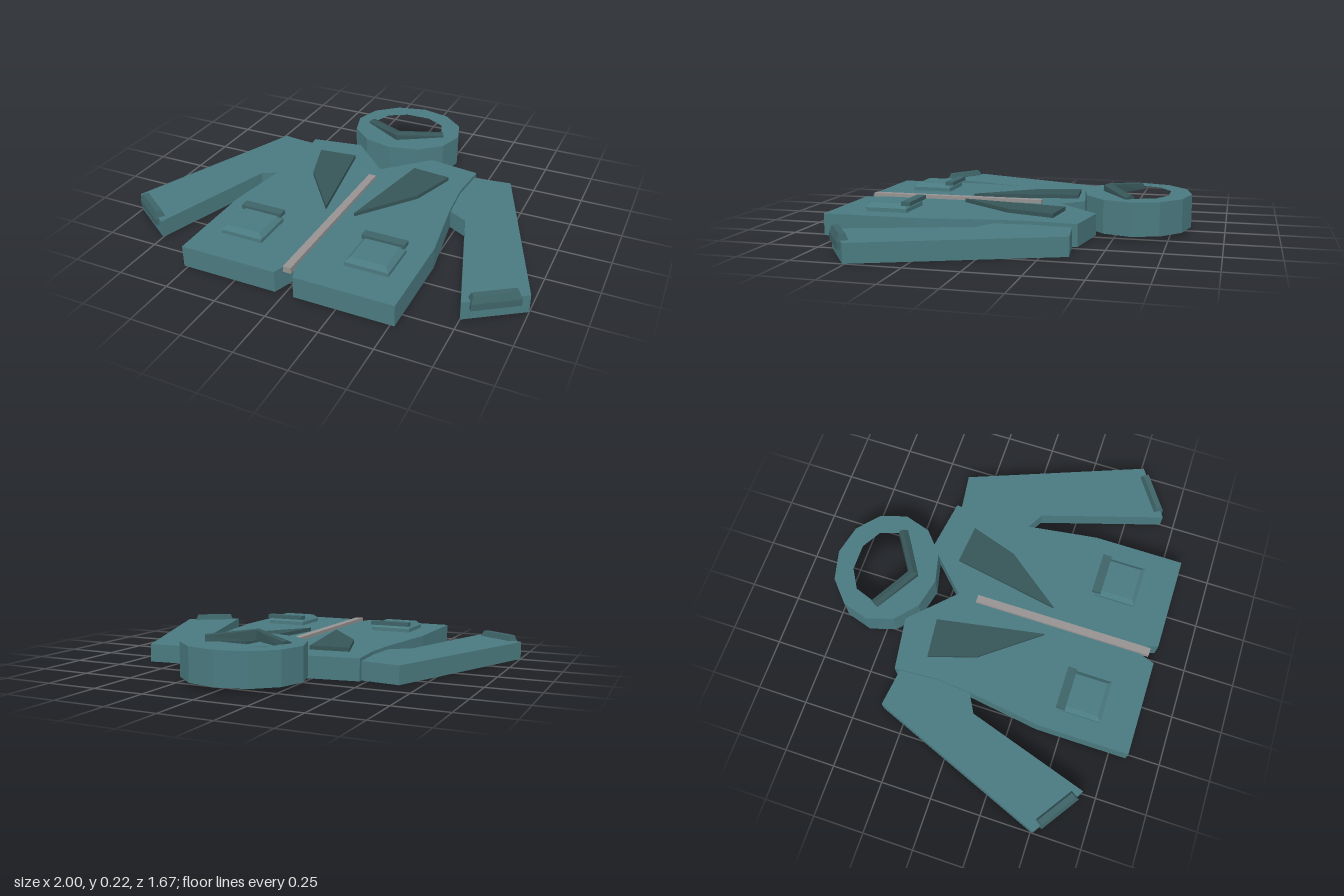
import * as THREE from 'three';

const mat = (name, color) => Object.assign(new THREE.MeshStandardMaterial({ color }), { name });

export function createModel() {
  const cloth = mat('teal cloth', 0x4a7a80);
  const trim = mat('dark teal trim', 0x3d6367);
  const lapelCloth = mat('deep teal lapel', 0x365457);
  const metal = mat('zip grey', 0x969292);

  const group = new THREE.Group();
  group.name = 'jacket';
  const add = (name, geometry, material) => {
    const mesh = new THREE.Mesh(geometry, material);
    mesh.name = name;
    group.add(mesh);
    return mesh;
  };

  // Flat panel from an [x, z] outline, lying between heights y0 and y1
  const toPoints = pts => pts.map(([x, z]) => new THREE.Vector2(x, -z));
  const panel = (pts, y0, y1, hole) => {
    const shape = new THREE.Shape(toPoints(pts));
    if (hole) shape.holes.push(new THREE.Path(toPoints(hole)));
    return new THREE.ExtrudeGeometry(shape, { depth: y1 - y0, bevelEnabled: false })
      .rotateX(-Math.PI / 2).translate(0, y0, 0);
  };
  const flip = pts => pts.map(([x, z]) => [-x, z]);
  // Mirrors a right-hand outline whose first and last points lie on the centre line
  const both = pts => [...pts, ...flip(pts.slice(1, -1)).reverse()];

  // Box with its upper corners drawn in
  const taperedBox = (w, h, d, inset) => {
    const g = new THREE.BoxGeometry(w, h, d, 1, 2, 1).toNonIndexed();
    const p = g.attributes.position;
    for (let i = 0; i < p.count; i++) {
      if (p.getY(i) > h * 0.4) {
        p.setX(i, p.getX(i) - Math.sign(p.getX(i)) * inset);
        p.setZ(i, p.getZ(i) - Math.sign(p.getZ(i)) * inset);
      }
    }
    g.computeVertexNormals();
    return g;
  };

  // Body with a V neck and a notch in the hem
  add('body', panel(both([
    [0, -0.2], [0.21, -0.41], [0.47, -0.37], [0.455, -0.16], [0.47, 0.03],
    [0.52, 0.38], [0.52, 0.835], [0.045, 0.835], [0, 0.7],
  ]), 0, 0.105), cloth);

  // Hood ring
  const outer = [];
  for (let i = 0; i < 12; i++) {
    const a = i * Math.PI / 6;
    outer.push([0.293 * Math.sin(a), -0.58 - 0.26 * Math.cos(a)]);
  }
  const opening = both([
    [0, -0.735], [0.065, -0.735], [0.16, -0.68], [0.195, -0.58],
    [0.14, -0.5], [0.04, -0.445], [0, -0.445],
  ]);
  add('hood', panel(outer, 0.02, 0.18, opening), cloth);

  // V-shaped collar swept through three cross-sections
  const sections = [[-1, 1], [0, 0], [1, 1]].map(([side, t]) => {
    const top = 0.218 - 0.022 * t;
    return [
      [0.195, -0.465 - 0.125 * t, 0.165], [0.2, -0.46 - 0.125 * t, top - 0.005],
      [0.21, -0.436 - 0.131 * t, top], [0.22, -0.413 - 0.135 * t, top - 0.01],
      [0.22, -0.41 - 0.135 * t, 0.165],
    ].map(([x, z, y]) => [x * side, y, z]);
  });
  const verts = [];
  for (let s = 0; s < 2; s++) {
    for (let i = 0; i < 5; i++) {
      const j = (i + 1) % 5, [p, q] = [sections[s], sections[s + 1]];
      verts.push(...p[i], ...p[j], ...q[j], ...p[i], ...q[j], ...q[i]);
    }
  }
  for (let i = 1; i < 4; i++) {
    verts.push(...sections[0][0], ...sections[0][i + 1], ...sections[0][i]);
    verts.push(...sections[2][0], ...sections[2][i], ...sections[2][i + 1]);
  }
  const collar = new THREE.BufferGeometry();
  collar.setAttribute('position', new THREE.Float32BufferAttribute(verts, 3));
  collar.computeVertexNormals();
  add('collar', collar, lapelCloth);

  // Zip
  add('zip', new THREE.BoxGeometry(0.038, 0.03, 0.9).translate(0, 0.107, 0.35), metal);

  const sleeve = [[0.44, -0.342], [0.655, -0.37], [1, 0.51], [0.75, 0.68], [0.56, 0.07], [0.44, 0.003]];
  const lapel = [[0.17, -0.255], [0.365, -0.235], [0.29, 0], [0.075, 0.28]];
  for (const [side, label] of [[1, 'left'], [-1, 'right']]) {
    const mirror = pts => (side > 0 ? pts : flip(pts));
    add(label + 'Sleeve', panel(mirror(sleeve), 0, 0.088), cloth);
    add(label + 'Lapel', panel(mirror(lapel), 0.1, 0.124), lapelCloth);

    // Cuff tab across the sleeve end
    const cuff = add(label + 'Cuff', taperedBox(0.222, 0.066, 0.052, 0.012), trim);
    cuff.position.set(side * 0.868, 0.083, 0.587);
    cuff.rotation.y = side * 0.6;

    // Pocket and its flap
    const pocket = add(label + 'Pocket', taperedBox(0.21, 0.042, 0.205, 0.02), cloth);
    pocket.position.set(side * 0.313, 0.124, 0.562);
    const flap = add(label + 'PocketFlap', new THREE.BoxGeometry(0.21, 0.02, 0.045), trim);
    flap.position.set(side * 0.313, 0.148, 0.463);
  }
  return group;
}
